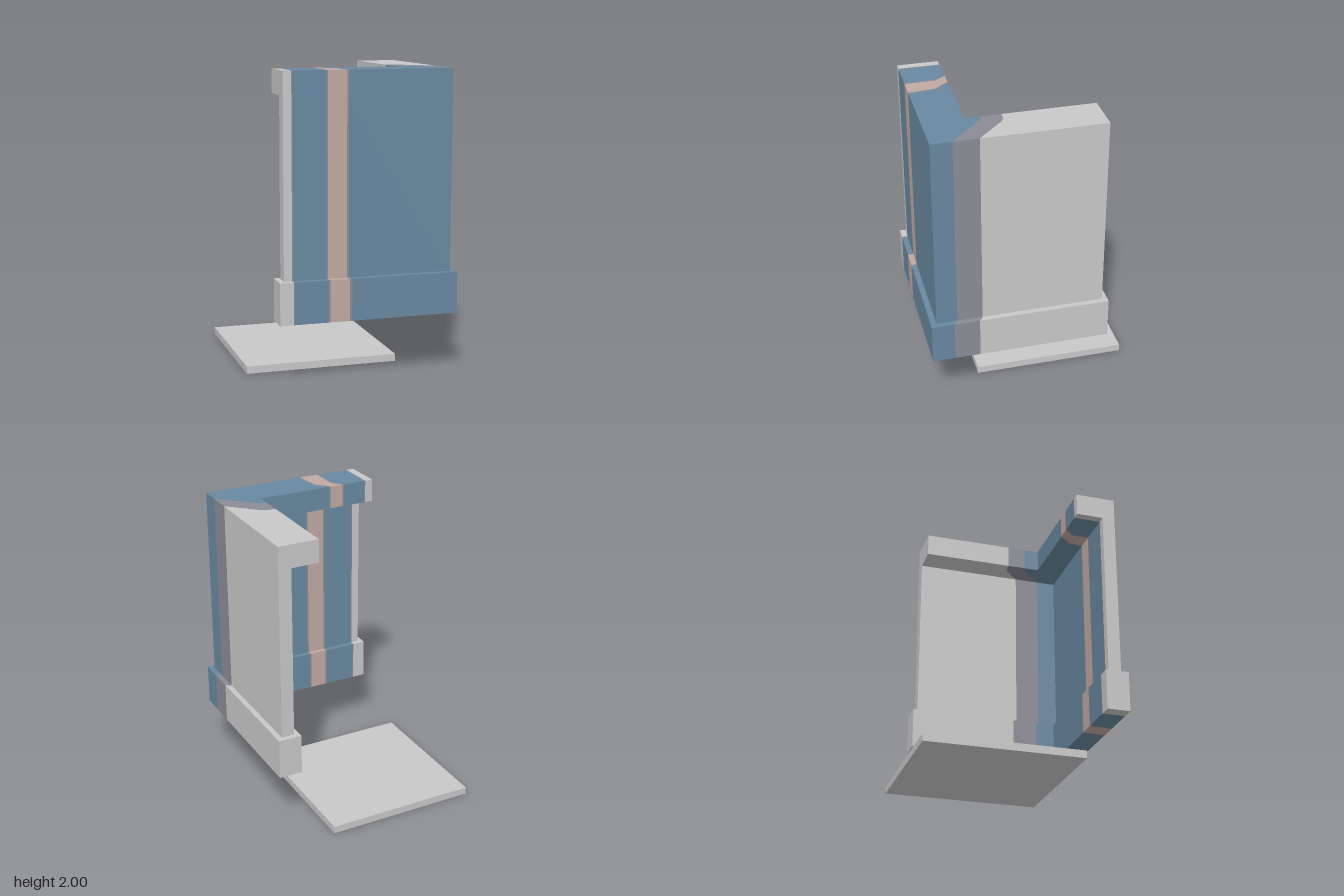
import * as THREE from 'three';

const mat = (name, color) => {
  const m = new THREE.MeshStandardMaterial({ color });
  m.name = name;
  return m;
};

// Plan curves of the colour bands as [across the leg, along the leg].
// Front leg: [z, x]
const endCut = [[0.38, -0.441], [0.7, -0.441]];
const endCutInner = [[0.38, -0.433], [0.7, -0.433]];
const seamLeft = [[0.385, -0.275], [0.455, -0.222], [0.66, -0.217], [0.7, -0.21]];
const pinkLeft = [[0.385, -0.262], [0.455, -0.208], [0.66, -0.206], [0.7, -0.2]];
const pinkRight = [[0.385, -0.17], [0.42, -0.146], [0.475, -0.097], [0.6, -0.082], [0.66, -0.08], [0.7, -0.071]];
const seamRight = [[0.385, -0.163], [0.42, -0.135], [0.475, -0.083], [0.6, -0.07], [0.66, -0.067], [0.7, -0.055]];
// Side leg: [x, z]
const cornerEdge = [[0.35, 0.283], [0.4, 0.3], [0.6, 0.5], [0.63, 0.523], [0.665, 0.547]];
const bandEdge = [[0.35, 0.155], [0.41, 0.157], [0.45, 0.18], [0.6, 0.33], [0.63, 0.355], [0.665, 0.38]];

// Part of a curve between a and b, with interpolated ends
function clip(curve, a, b) {
  const at = (t) => {
    for (let i = 1; i < curve.length; i++) {
      const [t0, v0] = curve[i - 1], [t1, v1] = curve[i];
      if (t <= t1 || i === curve.length - 1) return [t, v0 + (v1 - v0) * (t - t0) / (t1 - t0)];
    }
  };
  return [at(a), ...curve.filter(([t]) => t > a + 1e-4 && t < b - 1e-4), at(b)];
}

// Upright prism from a plan outline of [x, z] points
function prism(name, outline, y0, y1, material) {
  const shape = new THREE.Shape(outline.map(([x, z]) => new THREE.Vector2(x, -z)));
  const geo = new THREE.ExtrudeGeometry(shape, { depth: y1 - y0, bevelEnabled: false });
  geo.rotateX(-Math.PI / 2);
  geo.translate(0, y0, 0);
  const mesh = new THREE.Mesh(geo, material);
  mesh.name = name;
  return mesh;
}

// One level of the L-shaped wall, split into its colour bands
function tier(name, { xi, xo, zi, zo, left, back, y0, y1 }, m) {
  const group = new THREE.Group();
  group.name = name;
  const add = (part, outline, material) => group.add(prism(part, outline, y0, y1, material));
  const frontCut = (c) => clip(c, zi, zo).map(([z, x]) => [x, z]);
  const sideCut = (c) => clip(c, xi, xo);

  // front leg, from its free end towards the corner
  const cuts = [[[zi, left], [zo, left]], endCut, endCutInner, seamLeft, pinkLeft, pinkRight, seamRight];
  const fills = [
    ['greyEnd', m.grey], ['endSeam', m.slate], ['blueEnd', m.blue],
    ['leftSeam', m.slate], ['pinkStripe', m.pink], ['rightSeam', m.slate],
  ];
  fills.forEach(([part, material], i) =>
    add(part, [...frontCut(cuts[i]), ...frontCut(cuts[i + 1]).reverse()], material));

  // blue corner joining both legs
  add('blueCorner', [...frontCut(seamRight), [xo, zo], ...sideCut(cornerEdge).reverse(), [xi, zi]], m.blue);

  // side leg
  add('slateBand', [...sideCut(cornerEdge), ...sideCut(bandEdge).reverse()], m.slate);
  add('greySide', [...sideCut(bandEdge), [xo, back], [xi, back]], m.grey);
  return group;
}

export function createModel() {
  const m = {
    grey: mat('light grey', 0xc8c8c8),
    blue: mat('steel blue', 0x6888a0),
    pink: mat('dusty pink', 0xc1a9a2),
    slate: mat('slate grey', 0x8a8b95),
  };
  const model = new THREE.Group();
  model.name = 'cornerWall';

  // floor slab
  const slab = new THREE.Mesh(new THREE.BoxGeometry(1.035, 0.05, 1.035), m.grey);
  slab.name = 'floorSlab';
  slab.position.set(-0.148, 0.025, -0.181);
  model.add(slab);

  // skirting, wall panel and overhanging top
  const wall = { xo: 0.628, zo: 0.66, left: -0.495, back: -0.461 };
  model.add(
    tier('skirting', { xi: 0.505, xo: 0.664, zi: 0.54, zo: 0.698, left: -0.53, back: -0.497, y0: 0.405, y1: 0.68 }, m),
    tier('wallPanel', { ...wall, xi: 0.54, zi: 0.572, y0: 0.68, y1: 1.845 }, m),
    tier('topLedge', { ...wall, xi: 0.352, zi: 0.385, y0: 1.845, y1: 2 }, m),
  );
  return model;
}
